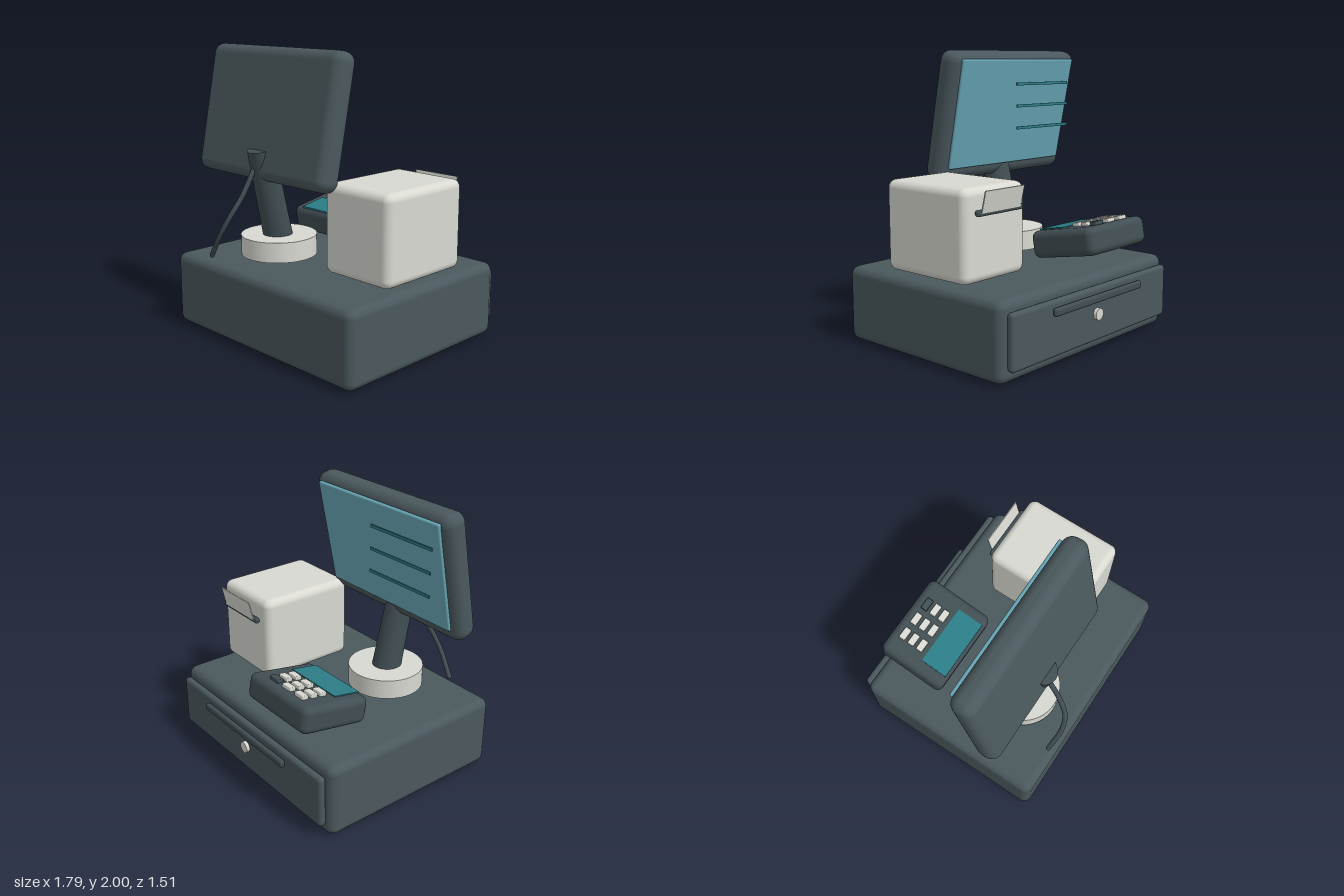
import * as THREE from 'three';
import { RoundedBoxGeometry } from 'three/addons/geometries/RoundedBoxGeometry.js';

function mat(name, color) {
  const m = new THREE.MeshStandardMaterial({ color });
  m.name = name;
  return m;
}

export function createModel() {
  const body = mat('slate', 0x4a585d);
  const dark = mat('dark slate', 0x414e53);
  const light = mat('warm white', 0xd9d9d2);
  const glass = mat('screen blue', 0x69a8b8);
  const teal = mat('teal', 0x2b7c85);

  const model = new THREE.Group();
  model.name = 'cashRegister';

  function add(parent, name, geometry, material, x, y, z, tilt = 0) {
    const mesh = new THREE.Mesh(geometry, material);
    mesh.name = name;
    mesh.position.set(x, y, z);
    mesh.rotation.x = tilt;
    parent.add(mesh);
    return mesh;
  }
  function tiltedGroup(name, x, y, z, tilt) {
    const g = new THREE.Group();
    g.name = name;
    g.position.set(x, y, z);
    g.rotation.x = tilt;
    model.add(g);
    return g;
  }
  const rounded = (w, h, d, r) => new RoundedBoxGeometry(w, h, d, 4, r);
  const box = (w, h, d) => new THREE.BoxGeometry(w, h, d);
  const disc = (r, h, n = 48) => new THREE.CylinderGeometry(r, r, h, n);

  // Cash drawer with its front panel, handle, lock and feet
  add(model, 'drawerCase', rounded(1.745, 0.52, 1.42, 0.06), body, 0.018, 0.275, 0.045);
  add(model, 'drawerFront', rounded(1.655, 0.37, 0.055, 0.026), body, 0.018, 0.285, -0.693);
  add(model, 'drawerHandle', rounded(0.935, 0.055, 0.038, 0.018), dark, 0.018, 0.402, -0.741);
  add(model, 'drawerLock', disc(0.04, 0.03, 24), light, 0.018, 0.29, -0.73, Math.PI / 2);
  for (const x of [-0.68, 0.715]) {
    for (const z of [-0.48, 0.58]) add(model, 'foot', disc(0.08, 0.03, 24), dark, x, 0.015, z);
  }

  // Receipt printer
  add(model, 'printer', rounded(0.565, 0.605, 0.725, 0.055), light, 0.568, 0.862, 0.028);
  add(model, 'paperSlot', rounded(0.42, 0.042, 0.036, 0.016), dark, 0.568, 1.012, -0.364);
  add(model, 'receiptPaper', box(0.355, 0.15, 0.008), light, 0.568, 1.08, -0.394, -0.23);

  // Monitor stand: round base and a leaning column
  add(model, 'standBase', disc(0.265, 0.14), light, -0.245, 0.64, 0.31);
  add(model, 'standColumn', new THREE.CylinderGeometry(0.093, 0.103, 0.7, 40), dark,
    -0.247, 0.984, 0.383, 0.225);

  // Monitor, screen towards the back
  const monitor = tiltedGroup('monitor', -0.247, 1.55, 0.35, -0.2);
  add(monitor, 'monitorCase', rounded(1.305, 0.908, 0.18, 0.075), body, 0, 0, 0);
  add(monitor, 'screen', rounded(1.17, 0.77, 0.03, 0.012), glass, 0, 0.029, -0.094);
  for (const y of [1.445, 1.603, 1.76]) {
    add(model, 'screenLine', box(0.57, 0.02, 0.009), teal, -0.492, y, 0.176);
  }

  // Card terminal with display and keys
  const pad = tiltedGroup('cardTerminal', -0.287, 0.715, -0.422, 0.18);
  add(pad, 'terminalCase', rounded(0.645, 0.19, 0.525, 0.05), dark, 0, 0, 0);
  add(pad, 'terminalDisplay', box(0.465, 0.016, 0.205), teal, 0, 0.094, 0.135);
  [-0.174, -0.1, -0.027].forEach((z, row) => {
    [-0.145, -0.01, 0.124].forEach((x, col) => {
      const isDark = row === 0 && col === 2;
      add(pad, 'key', rounded(0.09, 0.035, 0.05, 0.006), isDark ? dark : light, x, 0.104, z);
    });
  });

  // Cable hanging from the monitor
  const path = new THREE.CatmullRomCurve3([
    [-0.255, 1.21, 0.505], [-0.268, 1.02, 0.61], [-0.31, 0.87, 0.695],
    [-0.385, 0.74, 0.72], [-0.505, 0.575, 0.7],
  ].map((p) => new THREE.Vector3(...p)));
  add(model, 'cable', new THREE.TubeGeometry(path, 24, 0.018, 10), dark, 0, 0, 0);
  const ends = [[0, 'cableTop'], [1, 'cableTip']];
  for (const [t, name] of ends) {
    const p = path.getPoint(t);
    add(model, name, new THREE.SphereGeometry(0.018, 10, 8), dark, p.x, p.y, p.z);
  }

  return model;
}
